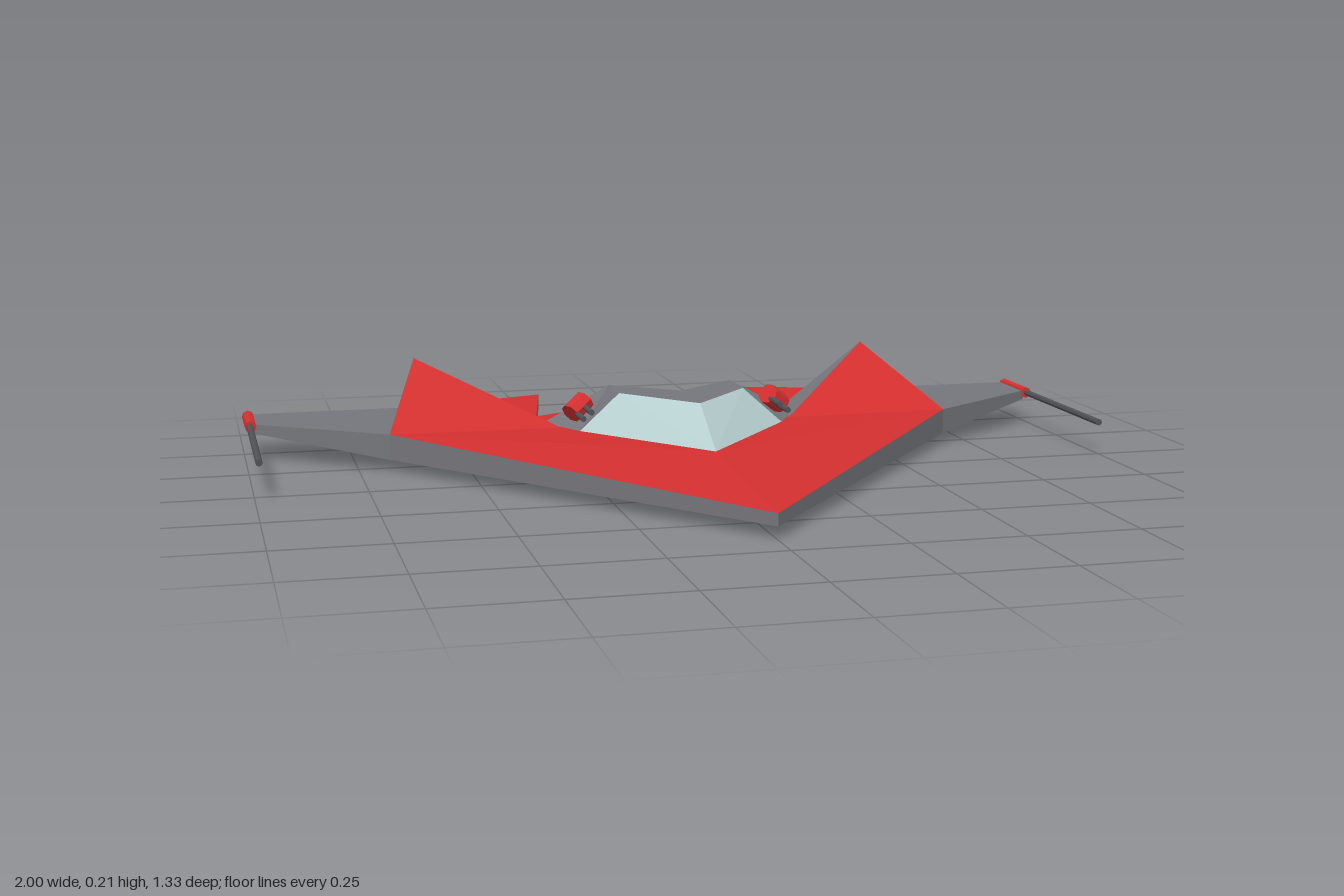
import * as THREE from 'three';

function paint(name, hex) {
  const m = new THREE.MeshStandardMaterial({ color: hex, side: THREE.DoubleSide, flatShading: true });
  m.name = name;
  return m;
}

// Corners of the +x half; a trailing "b" marks a lower edge
const P = {
  nose: [0, 0.055, 0.66], noseb: [0, 0.028, 0.66],
  wing: [0.68, 0.087, -0.21], wingb: [0.68, 0.027, -0.21],
  tip: [0.98, 0.087, -0.42], tipb: [0.98, 0.065, -0.42],
  rear: [0.98, 0.087, -0.56], rearb: [0.98, 0.063, -0.56],
  back: [0.58, 0.087, -0.56], backb: [0.58, 0.055, -0.56],
  spike: [0.25, 0.087, -0.67], spikeb: [0.25, 0.06, -0.67],
  inner: [0.31, 0.087, -0.36], innerb: [0.31, 0, -0.36],
  stern: [0, 0.087, -0.535], sternb: [0, 0, -0.535],
  deck: [0, 0.087, 0.17], gun: [0.28, 0.087, -0.2],
  keel: [0, 0, 0.15], belly: [0.73, 0, -0.5],
  peak: [0.58, 0.21, -0.56],
  // cockpit
  glassSide: [0.245, 0.087, -0.145], roofFront: [0, 0.172, 0.03], roofSide: [0.15, 0.172, -0.15],
  roofBack: [0.15, 0.172, -0.27], notch: [0, 0.172, -0.15],
  armBase: [0.31, 0.087, -0.27], notchLow: [0, 0.087, -0.15], armLow: [0.15, 0.087, -0.27],
};

// Flat faces listed by corner names, mirrored across x = 0
function panels(name, material, list) {
  const pos = [];
  for (const face of list) {
    const pts = face.split(' ').map((k) => P[k]);
    for (let i = 1; i < pts.length - 1; i++) {
      const t = [pts[0], pts[i], pts[i + 1]];
      for (const [x, y, z] of t) pos.push(x, y, z);
      for (const [x, y, z] of t.reverse()) pos.push(-x, y, z);
    }
  }
  const g = new THREE.BufferGeometry();
  g.setAttribute('position', new THREE.Float32BufferAttribute(pos, 3));
  g.computeVertexNormals();
  const mesh = new THREE.Mesh(g, material);
  mesh.name = name;
  return mesh;
}

export function createModel() {
  const red = paint('red', 0xd32f2f);
  const grey = paint('grey', 0x75767b);
  const glass = paint('paleGlass', 0xb8d0d0);
  const dark = paint('gunMetal', 0x505257);
  const ship = new THREE.Group();
  ship.name = 'deltaShip';

  ship.add(
    panels('deck', red, ['deck nose wing gun', 'deck gun inner stern']),
    panels('hullEdges', grey, [
      'nose noseb wingb wing', 'wing wingb tipb tip', 'tip tipb rearb rear',
      'rear rearb backb back', 'back backb spikeb spike', 'spike spikeb innerb inner',
    ]),
    panels('underside', grey, [
      'noseb keel wingb', 'keel belly wingb', 'keel innerb belly', 'wingb belly tipb',
      'tipb belly rearb', 'belly backb rearb', 'belly innerb backb', 'innerb spikeb backb',
    ]),
    panels('bellyPlate', red, ['keel sternb innerb']),
    panels('sternWalls', red, ['inner innerb sternb stern']),
    panels('wingTops', grey, ['wing tip rear back']),
    panels('fins', red, ['gun wing peak', 'wing back peak', 'back inner peak']),
    panels('finInnerFaces', grey, ['gun peak inner']),
    panels('rearSpikes', red, ['inner back spike']),
    panels('canopyGlass', glass, ['deck glassSide roofSide roofFront']),
    panels('cockpitShell', grey, [
      'roofFront roofSide roofBack notch', 'glassSide armBase roofBack roofSide',
      'armBase armLow roofBack', 'notch roofBack armLow notchLow',
    ]),
  );

  // Raised slab behind the cockpit
  const outline = [[0, -0.15], [0.15, -0.27], [0.15, -0.453], [0, -0.542], [-0.15, -0.453], [-0.15, -0.27]];
  const shape = new THREE.Shape(outline.map(([x, z]) => new THREE.Vector2(x, -z)));
  const slabGeo = new THREE.ExtrudeGeometry(shape, { depth: 0.038, bevelEnabled: false });
  const slab = new THREE.Mesh(slabGeo.rotateX(-Math.PI / 2), grey);
  slab.name = 'rearSlab';
  slab.position.y = 0.053;
  ship.add(slab);

  // Rod along z between two depths
  const rod = (name, mat, r, z0, z1, x, y) => {
    const m = new THREE.Mesh(new THREE.CylinderGeometry(r, r, z1 - z0, 8).rotateX(Math.PI / 2), mat);
    m.name = name;
    m.position.set(x, y, (z0 + z1) / 2);
    return m;
  };

  for (const s of [1, -1]) {
    // Wing tip cannons
    ship.add(rod('tipPod', red, 0.014, -0.562, -0.415, s * 0.986, 0.082));
    ship.add(rod('tipBarrel', dark, 0.008, -0.42, 0.025, s * 0.988, 0.082));

    // Tilted twin-barrel turrets on the cockpit shoulders
    const turret = new THREE.Group();
    turret.name = 'turret';
    const drum = new THREE.CylinderGeometry(0.031, 0.031, 0.05, 8).rotateX(Math.PI / 8).rotateZ(Math.PI / 2);
    const body = new THREE.Mesh(drum, red);
    body.name = 'turretBody';
    body.scale.y = 0.8;
    turret.add(body);
    for (const o of [-0.012, 0.012]) turret.add(rod('turretBarrel', dark, 0.007, 0, 0.1, o, -0.006));
    turret.position.set(s * 0.24, 0.136, -0.194);
    turret.rotation.z = -s * 0.65;
    ship.add(turret);
  }
  return ship;
}
